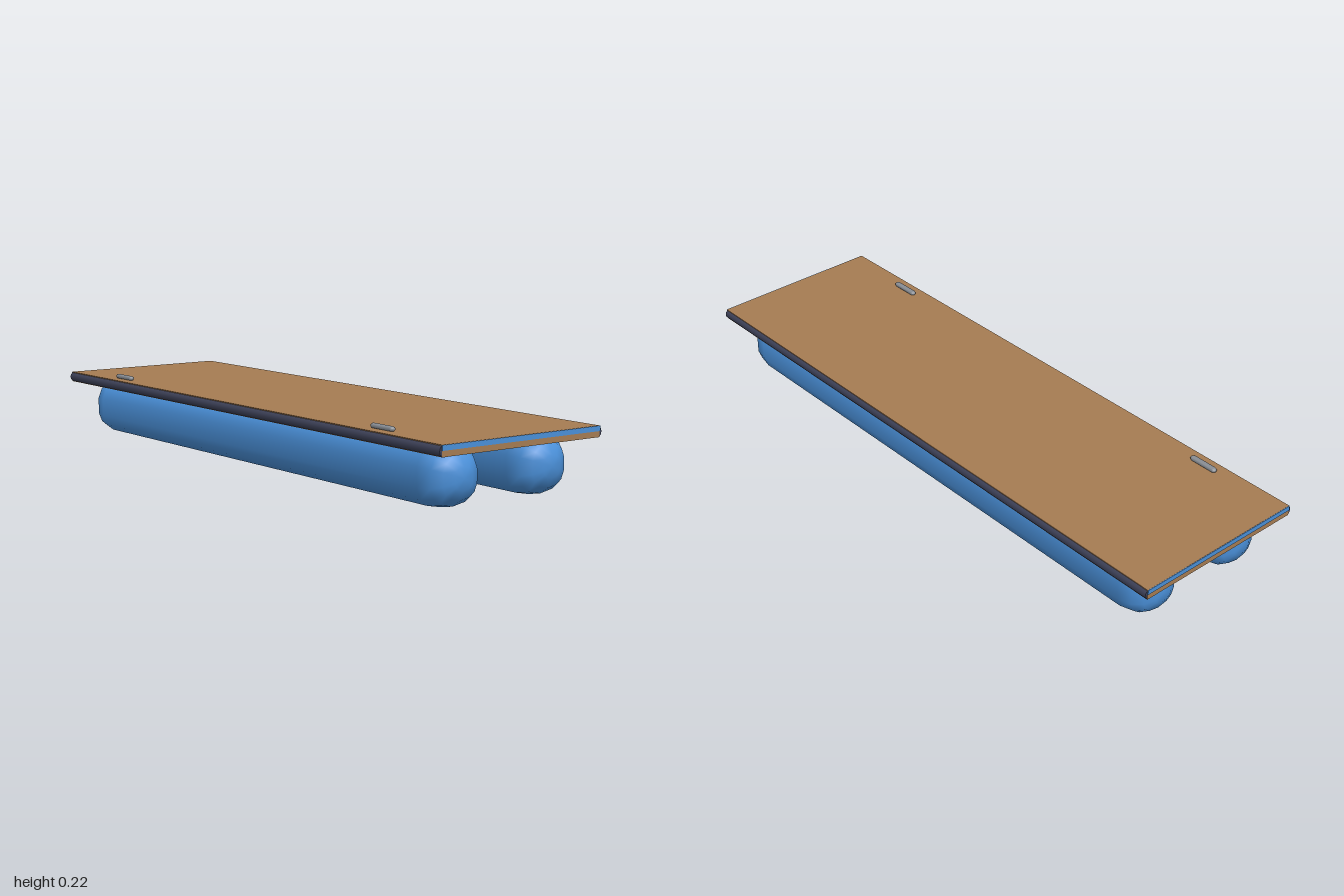
import * as THREE from 'three';
import { mergeVertices } from 'three/addons/utils/BufferGeometryUtils.js';

const mat = (name, color) => {
  const m = new THREE.MeshStandardMaterial({ color });
  m.name = name;
  return m;
};

// Pontoon: a lathe along x whose 14 spokes follow a softly squared section
function pontoonGeometry() {
  const quarter = [[0, 0.0925], [0.05, 0.083], [0.075, 0.0635], [0.089, 0.0295]]; // z, y
  const spoke = (j) => {
    const k = j % 14;
    const h = k > 7 ? 14 - k : k; // mirror sideways
    const [z, y] = quarter[h > 3 ? 7 - h : h]; // mirror top to bottom
    return [k > 7 ? -z : z, h > 3 ? -y : y];
  };
  const end = [[0, 0.945], [0.35, 0.942], [0.68, 0.927], [0.9, 0.897], [1, 0.85]]; // scale, x
  const profile = [
    ...end.map(([s, x]) => new THREE.Vector2(s, -x)),
    ...end.slice().reverse().map(([s, x]) => new THREE.Vector2(s, x)),
  ];
  const geo = new THREE.LatheGeometry(profile, 14);
  const p = geo.attributes.position;
  for (let i = 0; i < p.count; i++) {
    const [s, x] = [profile[i % profile.length].x, profile[i % profile.length].y];
    const [z, y] = spoke(Math.floor(i / profile.length));
    p.setXYZ(i, x, y * s, z * s);
  }
  geo.deleteAttribute('uv');
  geo.deleteAttribute('normal');
  const merged = mergeVertices(geo, 1e-5);
  merged.computeVertexNormals();
  return merged;
}

export function createModel() {
  const group = new THREE.Group();
  const wood = mat('wood', 0xa67c52);
  const blue = mat('blue', 0x4a90d9);
  const navy = mat('dark navy', 0x3e4259);
  const metal = mat('grey metal', 0x8a8f96);

  const add = (name, geo, material, x, y, z) => {
    const mesh = new THREE.Mesh(geo, material);
    mesh.name = name;
    mesh.position.set(x, y, z);
    group.add(mesh);
    return mesh;
  };

  // Deck board
  add('deck', new THREE.BoxGeometry(1.996, 0.033, 0.58), wood, 0, 0.1875, 0);

  // Pontoons and edge bumpers along both long sides
  const pontoon = pontoonGeometry();
  const bumper = new THREE.CylinderGeometry(0.017, 0.017, 1.994, 12).rotateZ(Math.PI / 2);
  for (const side of [1, -1]) {
    const label = side > 0 ? 'front' : 'back';
    add(label + 'Pontoon', pontoon, blue, 0, 0.0925, 0.163 * side);
    add(label + 'Bumper', bumper, navy, 0, 0.187, 0.281 * side);
  }

  // End trims and mooring cleats, left and right
  const trim = new THREE.BoxGeometry(0.004, 0.015, 0.58);
  const cleat = new THREE.CapsuleGeometry(0.01, 0.08, 4, 8).rotateZ(Math.PI / 2).scale(1, 0.8, 1);
  for (const side of [1, -1]) {
    const label = side > 0 ? 'left' : 'right';
    add(label + 'EndTrim', trim, blue, 0.998 * side, 0.196, 0);
    add(label + 'Cleat', cleat, metal, 0.7 * side, 0.211, 0.25);
  }
  return group;
}
